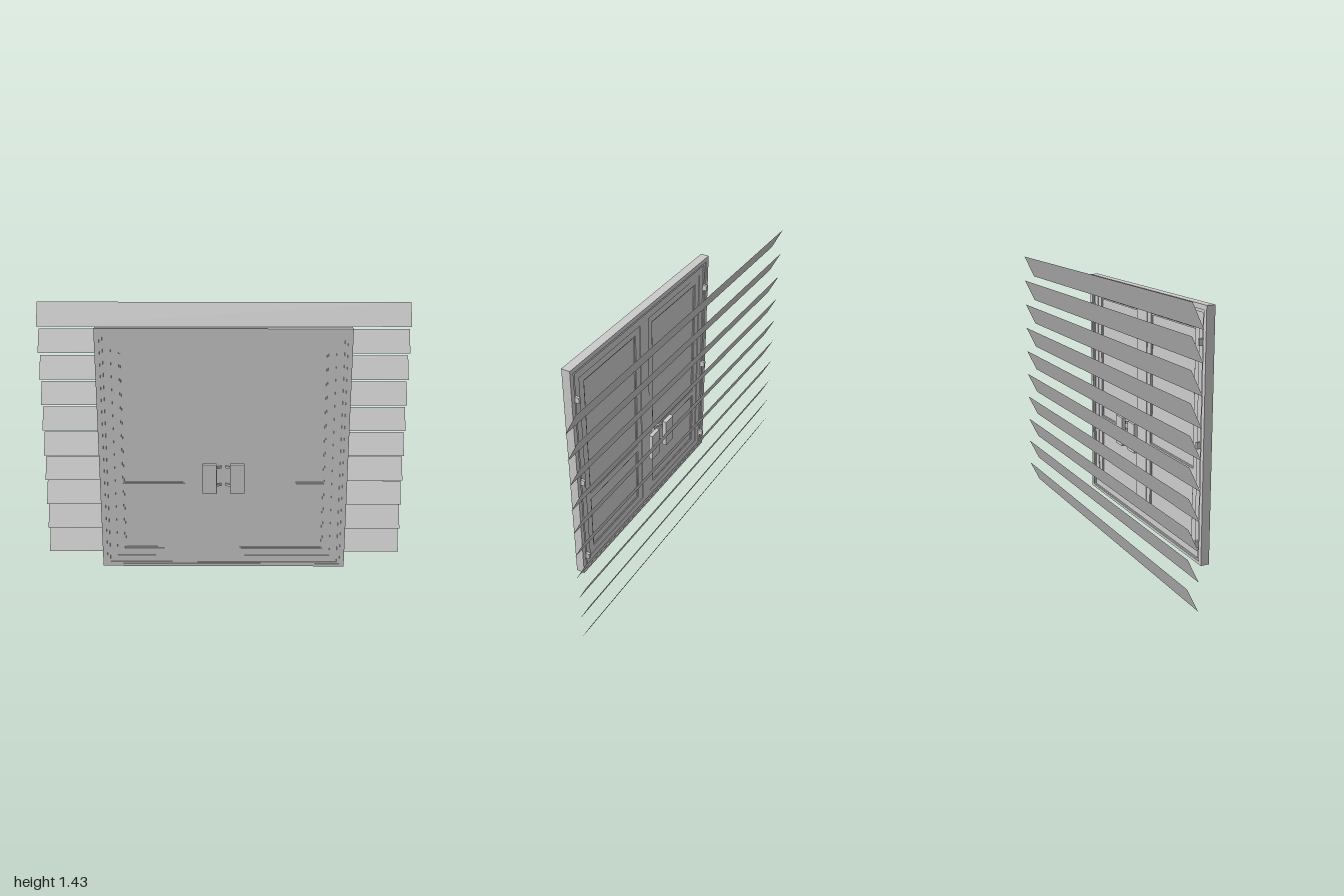
import * as THREE from 'three';

const mat = new THREE.MeshStandardMaterial({ color: 0xcccccc, flatShading: true });
const slatMat = new THREE.MeshStandardMaterial({ color: 0xcccccc, flatShading: true, side: THREE.DoubleSide });

const DOOR_Z = 0.1115; // middle plane of the door
const HANDLE_Z = 0.089; // middle plane of the handle pairs

function add(parent, name, geometry, material = mat) {
  const mesh = new THREE.Mesh(geometry, material);
  mesh.name = name;
  parent.add(mesh);
  return mesh;
}

function box(parent, name, x0, x1, y0, y1, z0, z1) {
  const mesh = add(parent, name, new THREE.BoxGeometry(x1 - x0, y1 - y0, z1 - z0));
  mesh.position.set((x0 + x1) / 2, (y0 + y1) / 2, (z0 + z1) / 2);
  return mesh;
}

function rect(target, [x0, x1, y0, y1]) {
  return target.moveTo(x0, y0).lineTo(x1, y0).lineTo(x1, y1).lineTo(x0, y1).closePath();
}

// Upright board with rectangular openings, centred on the door plane
function board(parent, name, outer, holes, halfDepth) {
  const shape = rect(new THREE.Shape(), outer);
  holes.forEach((h) => shape.holes.push(rect(new THREE.Path(), h)));
  const geometry = new THREE.ExtrudeGeometry(shape, { depth: 2 * halfDepth, bevelEnabled: false });
  geometry.translate(0, 0, DOOR_Z - halfDepth);
  return add(parent, name, geometry);
}

// Rectangle [x0, x1, y0, y1] on the chosen side of the centre
function onSide(s, [x0, x1, y0, y1]) {
  return s > 0 ? [x0, x1, y0, y1] : [-x1, -x0, y0, y1];
}

function createLeaf(s) {
  const leaf = new THREE.Group();
  leaf.name = s > 0 ? 'leftLeaf' : 'rightLeaf';
  const border = onSide(s, [0.04, 0.575, 0.095, 1.26]);
  const panels = [[0.08, 0.535, 0.51, 1.22], [0.08, 0.535, 0.135, 0.47]].map((r) => onSide(s, r));
  board(leaf, 'stiles', onSide(s, [0, 0.615, 0.058, 1.305]), [border], 0.0135);
  board(leaf, 'moulding', border, panels, 0.01);
  panels.forEach((p, i) => {
    // Thin bead around each sunken panel
    const b = 0.007;
    const inner = [p[0] + b, p[1] - b, p[2] + b, p[3] - b];
    board(leaf, 'panelBead', p, [inner], 0.006);
    board(leaf, i ? 'lowerPanel' : 'upperPanel', inner, [], 0.002);
  });

  // Hinges on the back, beside the frame
  for (const y of [0.125, 0.64, 1.15]) {
    const [x0, x1] = onSide(s, [0.611, 0.625, 0, 0]);
    box(leaf, 'hinge', x0, x1, y, y + 0.033, 0.07, 0.105);
  }
  return leaf;
}

// Pull plate on two cranked arms
function createHandle(sx, sz) {
  const handle = new THREE.Group();
  handle.name = (sx > 0 ? 'left' : 'right') + (sz > 0 ? 'Front' : 'Back') + 'Handle';
  const [x0, x1] = onSide(sx, [0.035, 0.11, 0, 0]);
  const zs = [HANDLE_Z + sz * 0.079, HANDLE_Z + sz * 0.101].sort((a, b) => a - b);
  box(handle, 'pullPlate', x0, x1, 0.48, 0.64, zs[0], zs[1]);

  // Plan outline of an arm: x, distance from the handle plane
  const outline = [
    [0.011, 0.028], [0.022, 0.028], [0.022, 0.047], [0.056, 0.062],
    [0.056, 0.08], [0.046, 0.08], [0.046, 0.069], [0.011, 0.054],
  ];
  const shape = new THREE.Shape(outline.map(([x, d]) => new THREE.Vector2(sx * x, HANDLE_Z + sz * d)));
  for (const top of [0.516, 0.614]) {
    const geometry = new THREE.ExtrudeGeometry(shape, { depth: 0.011, bevelEnabled: false });
    geometry.rotateX(Math.PI / 2).translate(0, top, 0);
    add(handle, 'arm', geometry);
  }
  return handle;
}

// Row of tilted boards behind the door, lower edges forward
function createSiding() {
  const siding = new THREE.Group();
  siding.name = 'siding';
  const rise = 0.122, run = 0.059, pitch = 0.145;
  for (let i = 0; i < 10; i++) {
    const slat = add(siding, 'sidingBoard', new THREE.PlaneGeometry(2, Math.hypot(rise, run)), slatMat);
    slat.rotation.x = -Math.atan2(run, rise);
    slat.position.set(0, i * pitch + rise / 2, -0.162);
  }
  return siding;
}

export function createModel() {
  const model = new THREE.Group();
  model.name = 'doubleDoor';

  // Outer frame with a stepped inner stop
  const opening = [-0.63, 0.63, 0.05, 1.32];
  board(model, 'frame', [-0.655, 0.655, 0.035, 1.345], [opening], 0.0235);
  board(model, 'frameStop', opening, [[-0.615, 0.615, 0.058, 1.305]], 0.019);

  for (const s of [1, -1]) {
    model.add(createLeaf(s));
    for (const sz of [1, -1]) model.add(createHandle(s, sz));
  }
  model.add(createSiding());
  return model;
}
